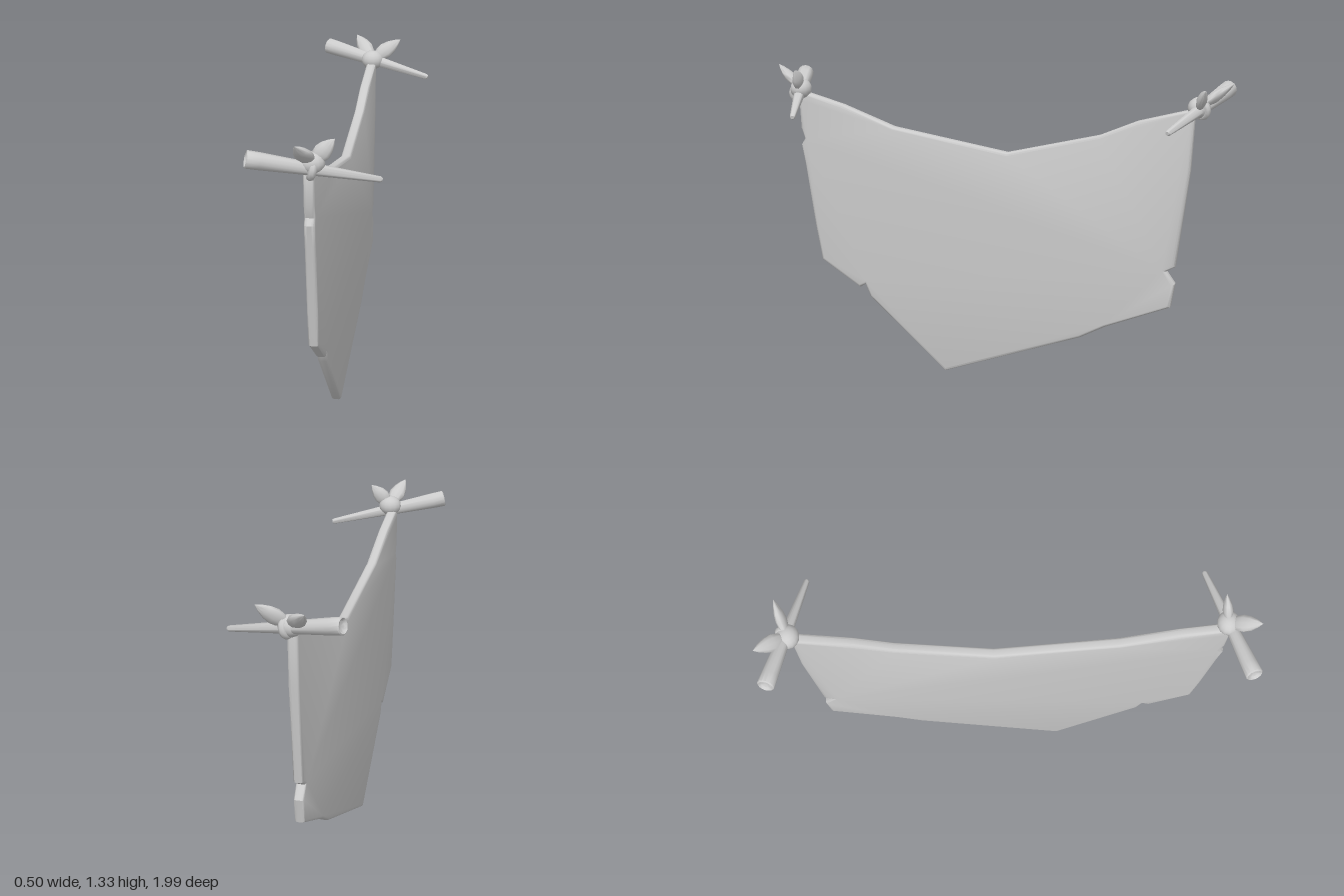
import * as THREE from 'three';
import { toCreasedNormals } from 'three/addons/utils/BufferGeometryUtils.js';

const grey = new THREE.MeshStandardMaterial({ color: 0xcccccc });
grey.name = 'plain grey';
const UP = new THREE.Vector3(0, 1, 0);
const vec = (p) => new THREE.Vector3(...p);

function part(name, geometry) {
  const mesh = new THREE.Mesh(geometry, grey);
  mesh.name = name;
  return mesh;
}

// Lathe body running from one point to another, optionally flattened
function spindle(name, profile, from, to, segments, flat = 1) {
  const a = vec(from), dir = vec(to).sub(a);
  const points = profile.map(([r, t]) => new THREE.Vector2(r, t * dir.length()));
  const mesh = part(name, toCreasedNormals(new THREE.LatheGeometry(points, segments), 0.9));
  mesh.scale.z = flat;
  mesh.position.copy(a);
  mesh.quaternion.setFromUnitVectors(UP, dir.normalize());
  return mesh;
}

// Torn hanging cloth, outlined as (z, y)
function cloth() {
  const outline = [
    [0.87, 1.21], [0.685, 1.163], [0.45, 1.08], [-0.06, 1.003], [-0.46, 1.104], [-0.62, 1.174],
    [-0.85, 1.238], [-0.857, 1.2], [-0.846, 0.987], [-0.793, 0.57], [-0.755, 0.548], [-0.793, 0.495],
    [-0.776, 0.393], [-0.498, 0.28], [-0.39, 0.222], [0.22, 0.005], [0.568, 0.313], [0.59, 0.366],
    [0.616, 0.35], [0.793, 0.463], [0.82, 0.612], [0.862, 0.89], [0.878, 0.976], [0.862, 1.003],
    [0.878, 1.05], [0.884, 1.174],
  ];
  const shape = new THREE.Shape(outline.map(([z, y]) => new THREE.Vector2(-z, y)));
  const bevel = 0.012;
  const geometry = new THREE.ExtrudeGeometry(shape, {
    depth: 0.043 - 2 * bevel, bevelThickness: bevel, bevelSize: bevel, bevelOffset: -bevel, bevelSegments: 3,
  });
  geometry.rotateY(Math.PI / 2).translate(-0.034 + bevel, 0, 0);
  return part('cloth', toCreasedNormals(geometry, 0.7));
}

// Tapered stick with a slightly hollow thick end
const stickProfile = [[0, 0.025], [0.022, 0.018], [0.03, 0], [0.035, 0.008], [0.034, 0.1], [0.012, 0.985], [0.008, 1], [0, 1]];
// Leaf-shaped loose end of a knot
const tailProfile = [[0, 0], [0.016, 0.06], [0.031, 0.28], [0.036, 0.46], [0.03, 0.65], [0.016, 0.85], [0, 1]];

function tie(name, { thick, thin, knot, tails }) {
  const group = new THREE.Group();
  group.name = name;
  group.add(spindle('stick', stickProfile, thick, thin, 14));
  const ball = part('knot', new THREE.SphereGeometry(0.046, 14, 10));
  ball.position.set(...knot);
  ball.scale.set(1.1, 0.95, 1);
  group.add(ball);
  // Band wrapped round the stick
  const band = part('knotBand', new THREE.TorusGeometry(0.03, 0.016, 8, 16));
  const axis = vec(thin).sub(vec(thick));
  band.position.copy(vec(thick).addScaledVector(axis, 0.48));
  band.quaternion.setFromUnitVectors(new THREE.Vector3(0, 0, 1), axis.normalize());
  group.add(band);
  tails.forEach((tip) => group.add(spindle('knotTail', tailProfile, knot, tip, 10, 0.6)));
  return group;
}

export function createModel() {
  const model = new THREE.Group();
  model.name = 'hangingCloth';
  model.add(
    cloth(),
    tie('frontTie', {
      thick: [-0.235, 1.249, 0.957], thin: [0.254, 1.148, 0.803],
      knot: [0, 1.222, 0.875], tails: [[-0.045, 1.315, 0.997], [0.085, 1.315, 0.865]],
    }),
    tie('backTie', {
      thick: [-0.232, 1.29, -0.952], thin: [0.254, 1.187, -0.803],
      knot: [-0.01, 1.245, -0.872], tails: [[-0.1, 1.335, -0.997], [0.113, 1.334, -0.92]],
    }),
  );
  return model;
}
